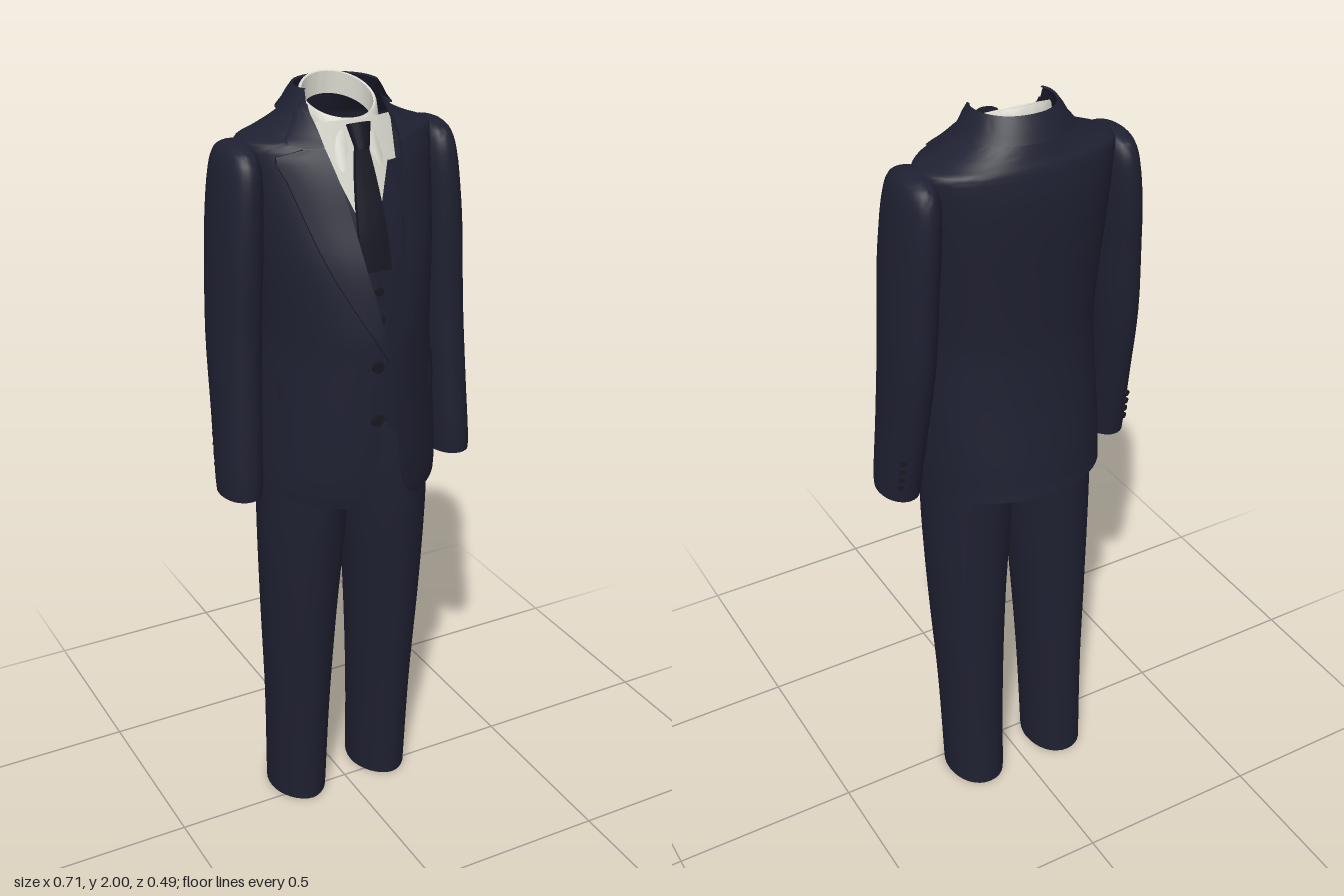
import * as THREE from 'three';
import { toCreasedNormals } from 'three/addons/utils/BufferGeometryUtils.js';

const material = (name, color) => {
  const m = new THREE.MeshStandardMaterial({ color, side: THREE.DoubleSide });
  m.name = name;
  return m;
};

// Smooth interpolation of table rows [key, a, b, ...]
function track(table) {
  const slope = (i, k) => {
    const a = table[Math.max(i - 1, 0)], b = table[Math.min(i + 1, table.length - 1)];
    return (b[k] - a[k]) / (b[0] - a[0]);
  };
  return (y) => {
    let i = 0;
    while (i < table.length - 2 && y > table[i + 1][0]) i++;
    const a = table[i], b = table[i + 1], h = b[0] - a[0];
    const t = THREE.MathUtils.clamp((y - a[0]) / h, 0, 1), t2 = t * t, t3 = t2 * t;
    return a.slice(1).map((v, j) => v * (2 * t3 - 3 * t2 + 1) + b[j + 1] * (3 * t2 - 2 * t3)
      + h * (slope(i, j + 1) * (t3 - 2 * t2 + t) + slope(i + 1, j + 1) * (t3 - t2)));
  };
}

// Every table key with extra levels between
const levels = (table, n = 4) => table.flatMap((r, i) => i === table.length - 1 ? [r[0]]
  : Array.from({ length: n }, (_, k) => r[0] + (table[i + 1][0] - r[0]) * k / n));

// Surface through a rows x cols net of points
function net(rows, cols, point) {
  const pos = [], idx = [];
  for (let i = 0; i < rows; i++) for (let j = 0; j < cols; j++) pos.push(...point(i, j));
  for (let i = 0; i < rows - 1; i++) for (let j = 0; j < cols - 1; j++) {
    const a = i * cols + j, b = a + cols;
    idx.push(a, a + 1, b + 1, a, b + 1, b);
  }
  const g = new THREE.BufferGeometry();
  g.setAttribute('position', new THREE.Float32BufferAttribute(pos, 3));
  g.setIndex(idx);
  return toCreasedNormals(g, 0.8);
}

const spow = (v, p) => Math.sign(v) * Math.abs(v) ** p;

// Point on a body outline; angle 0 is the front, pi the back
function outline(t, w, zf, zb, zc, nf = 1.75, nb = 2.2) {
  const c = Math.cos(t), n = c > 0 ? nf : nb;
  return [w * spow(Math.sin(t), 2 / n), zc + (c > 0 ? zf - zc : zc - zb) * spow(c, 2 / n)];
}

// Jacket: height, half width, front z, back z, middle z, half opening
const TORSO = [
  [1.0, .243, .222, -.24, 0, .1], [1.03, .243, .229, -.235, 0, .06],
  [1.1, .241, .234, -.228, -.005, .032], [1.25, .232, .237, -.208, -.015, .02],
  [1.38, .222, .239, -.196, -.02, .003], [1.45, .222, .238, -.194, -.022, .018],
  [1.6, .235, .213, -.198, -.03, .05], [1.72, .245, .172, -.202, -.04, .068],
  [1.8, .25, .143, -.2, -.05, .083], [1.85, .255, .118, -.193, -.055, .095],
  [1.875, .25, .102, -.187, -.055, .1], [1.89, .21, .092, -.18, -.055, .1],
  [1.915, .155, .078, -.17, -.05, .1], [1.94, .122, .06, -.16, -.045, .1],
  [1.985, .1, .04, -.14, -.04, .095],
];
const torso = track(TORSO);
const hem = (y, z) => y - .08 * z * Math.max(0, (1.25 - y) / .25);
const front = (x, y) => {
  const [w, zf, , zc] = torso(y);
  return zc + (zf - zc) * (1 - Math.min(Math.abs(x) / w, 1) ** 1.75) ** (1 / 1.75);
};
const edge = (y) => torso(y)[4];

// Waistcoat surface
const vestZ = track([[1.15, .185], [1.45, .168], [1.65, .14], [1.8, .095], [1.92, .06]]);
const vest = (x, y) => vestZ(y)[0] - 2 * x * x;

export function createModel() {
  const root = new THREE.Group();
  const suit = material('navy suit cloth', 0x1f2031);
  const shirtMat = material('ivory shirt cloth', 0xd9d8ce);
  const tieMat = material('dark tie silk', 0x161722);
  const buttonMat = material('dark buttons', 0x171822);
  const add = (name, geo, mat) => {
    const m = new THREE.Mesh(geo, mat);
    m.name = name;
    root.add(m);
    return m;
  };

  // Cloth panel laid over a surface, with its rims turned in
  const panel = (name, mat, ys, xin, xout, z, lift, side = 1) => {
    const us = [0, 0, .2, .4, .6, .8, 1, 1];
    add(name, net(ys.length, us.length, (i, j) => {
      const y = ys[i], u = us[j], x = THREE.MathUtils.lerp(xin(y), xout(y), u) * side;
      const rim = j === 0 || j === us.length - 1;
      return [x, y, z(x, y) + (rim ? -.003 : lift)];
    }), mat);
  };
  const range = (a, b, n = 20) => Array.from({ length: n + 1 }, (_, i) => a + (b - a) * i / n);
  const button = (name, x, y, z, r = .013, turn = 0) => {
    const b = add(name, new THREE.CylinderGeometry(r, r, .008, 14), buttonMat);
    b.rotation.set(Math.PI / 2, 0, turn);
    b.position.set(x, y, z);
  };

  // Jacket body, open at the front
  const ys = levels(TORSO), cols = 65;
  add('jacketBody', net(ys.length, cols, (i, j) => {
    const [w, zf, zb, zc, e] = torso(ys[i]);
    const a = Math.asin(Math.min(e / w, .97) ** .875);
    const [x, z] = outline(a + (2 * Math.PI - 2 * a) * j / (cols - 1), w, zf, zb, zc);
    return [x, hem(ys[i], z), z];
  }), suit);

  // Turned-down collar around the back of the neck
  add('jacketCollar', net(6, 41, (i, j) => {
    const y = [1.985, 1.988, 1.97, 1.95, 1.932, 1.93][i], off = [0, .005, .011, .013, .014, 0][i];
    const [w, zf, zb, zc] = torso(y);
    const [x, z] = outline(1.2 + (2 * Math.PI - 2.4) * j / 40, w + off, zf + off, zb - off, zc);
    return [x, y, z];
  }), suit);

  // Sleeves: height, middle x, half width, middle z, half depth
  const SLEEVE = [
    [1.0, .303, .052, .003, .076], [1.03, .302, .054, .001, .079], [1.2, .294, .056, -.02, .09],
    [1.4, .285, .06, -.043, .101], [1.6, .276, .06, -.048, .107], [1.7, .27, .058, -.052, .109],
    [1.8, .263, .052, -.054, .104], [1.85, .26, .042, -.055, .085],
    [1.87, .256, .028, -.055, .05], [1.878, .254, .002, -.055, .005],
  ];
  const sleeve = track(SLEEVE), sy = levels(SLEEVE);

  // Trouser legs: height, middle x, half width, middle z, half depth
  const LEG = [
    [0, .128, .078, -.055, .105], [.3, .127, .085, -.04, .11], [.6, .126, .1, -.025, .12],
    [.85, .12, .114, -.015, .13], [1.0, .117, .117, -.012, .133], [1.15, .115, .115, -.01, .13],
  ];
  const leg = track(LEG), ly = levels(LEG, 6);
  const tube = (heights, at, side, nf, nb) => net(heights.length, 33, (i, j) => {
    const [cx, rx, cz, rz] = at(heights[i]);
    const [x, z] = outline(j / 32 * Math.PI * 2, rx, cz + rz, cz - rz, cz, nf, nb);
    return [side * (cx + x), heights[i], z];
  });

  // Outlines of the lapel and of the collar end above its notch
  const lapelOut = track([[1.38, .008], [1.45, .05], [1.6, .125], [1.8, .187], [1.855, .2], [1.87, .145]]);
  const collarOut = track([[1.872, .135], [1.88, .172], [1.9, .155], [1.93, .125], [1.955, .112]]);
  const vestIn = track([[1.15, .06], [1.2, .015], [1.25, .001], [1.6, .001], [1.64, .008], [1.82, .075]]);

  for (const [side, word] of [[1, 'left'], [-1, 'right']]) {
    add(word + 'Sleeve', tube(sy, sleeve, side, 2.1, 2), suit);
    add(word + 'TrouserLeg', tube(ly, leg, side, 1.85, 2.1), suit);
    panel(word + 'Lapel', suit, range(1.38, 1.87, 28), edge, (y) => lapelOut(y)[0], front, .007, side);
    panel(word + 'CollarEnd', suit, range(1.872, 1.955, 10), edge, (y) => collarOut(y)[0], front, .007, side);
    panel(word + 'Waistcoat', suit, range(1.15, 1.82, 28), (y) => vestIn(y)[0], () => .15, vest, .003, side);
    panel(word + 'PocketFlap', suit, range(1.26, 1.315, 4), () => .15, () => .216, front, .007, side);
    // Cuff buttons at the back of the sleeve
    for (let k = 0; k < 4; k++) {
      const y = 1.05 + k * .026, [cx, rx, cz, rz] = sleeve(y);
      button(word + 'CuffButton', side * (cx + rx * .5), y, cz - rz * .87, .008, side * .4);
    }
  }

  // Breast pocket welt, on the left chest
  panel('breastPocket', suit, range(1.672, 1.697, 3), () => .115, () => .19, front, .006);

  // Jacket and waistcoat buttons
  for (const y of [1.37, 1.23]) button('jacketButton', -.035, y, front(.035, y) + .004, .015);
  for (const y of [1.6, 1.53, 1.46]) button('waistcoatButton', .006, y, vest(0, y) + .006, .011);

  // Shirt front
  panel('shirtFront', shirtMat, range(1.55, 1.92), () => -.105, () => .105, (x, y) => vest(x, y) - .008, 0);

  // Shirt collar: inner stand, rim, and a folded leaf with two points
  add('shirtCollar', net(6, 81, (i, j) => {
    const t = (j / 80 * 2 - 1) * Math.PI, s = Math.sin(t), c = Math.cos(t);
    const rim = 1.961 - .038 * c;
    const tip = Math.exp(-(((Math.abs(t) - .55) / .25) ** 2));
    const f = [0, 0, 0, .1, .55, 1][i];
    const r = [.086, .086, .091, .094, .097, .1][i];
    const y = rim - (i === 0 ? .055 : f * (.045 + .075 * tip)) - (i === 1 ? .002 : 0);
    return [r * s, y, -.036 + (r - .006) * c + f * tip * .045];
  }), shirtMat);

  // Tie blade and knot
  const tieHalf = track([[1.58, .042], [1.7, .036], [1.8, .026], [1.87, .015]]);
  panel('tieBlade', tieMat, range(1.58, 1.87), (y) => -tieHalf(y)[0], (y) => tieHalf(y)[0],
    (x, y) => vest(x, y) + .003, .009);
  const knot = add('tieKnot', new THREE.CylinderGeometry(.031, .018, .062, 16), tieMat);
  knot.scale.z = .65;
  knot.rotation.x = -.35;
  knot.position.set(0, 1.885, .078);

  return root;
}
